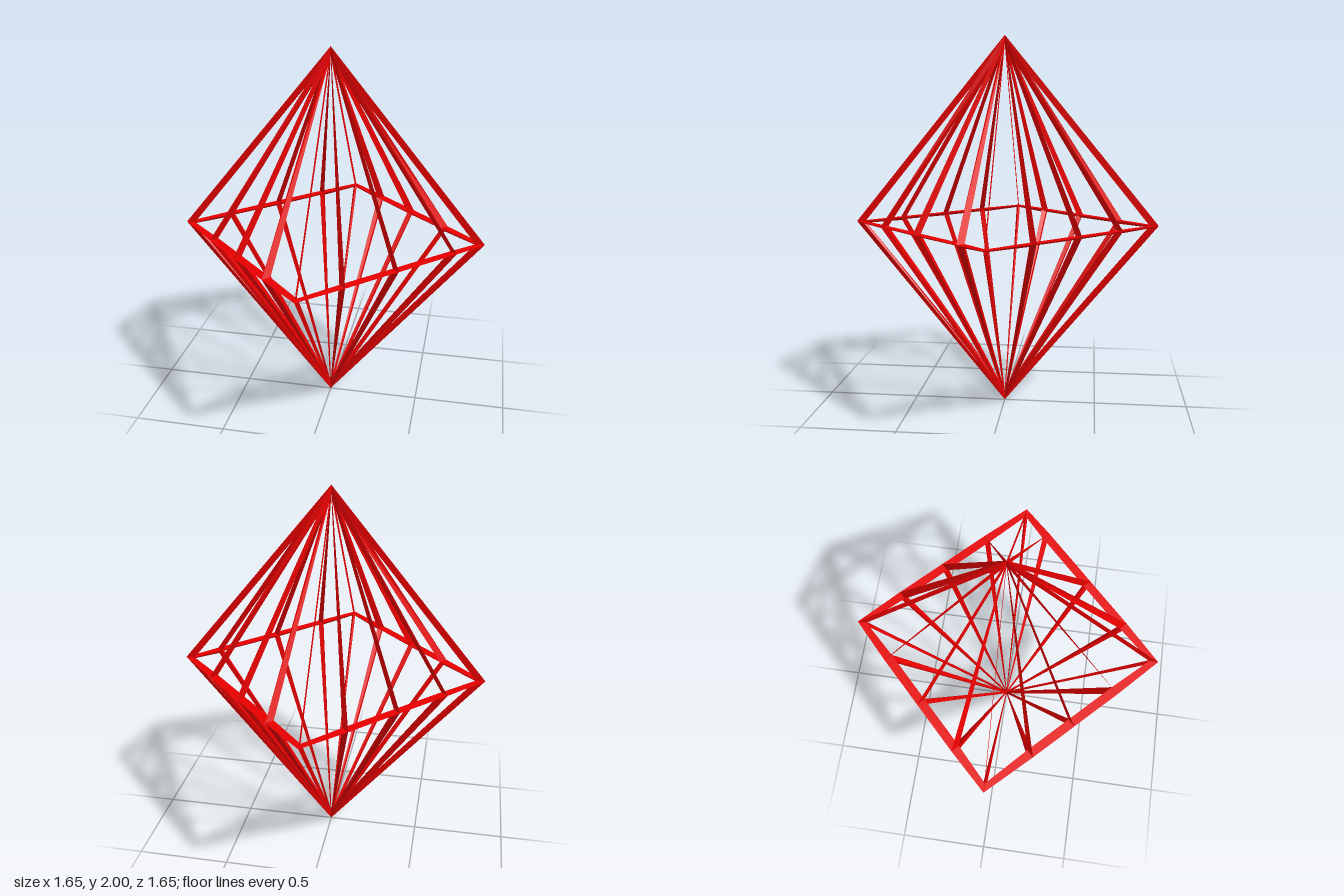
import * as THREE from 'three';

const R = 0.8;        // corner radius of the diamond ring
const TIP = 0.976;    // height of each tip above / below the ring
const DEPTH = 0.024;  // half thickness of the bars along the normal
const INSET = 0.024;  // shift of each panel corner along its bisector

// Where struts meet each ring side, as fractions from one corner to the next
const SPLITS = [
  [0, 0.225, 0.505, 0.836],
  [0, 0.25, 0.51, 0.765],
  [0, 0.225, 0.5, 0.775],
  [0, 0.26, 0.5, 0.76],
];

const V = (x, y, z) => new THREE.Vector3(x, y, z);

// A frame node: position plus outward normal
const node = (p, n) => ({
  p,
  pos: p.clone().addScaledVector(n, DEPTH),
  neg: p.clone().addScaledVector(n, -DEPTH),
});

// Panel corner moved inward along the angle bisector; narrow corners taper the bars
function insetCorner(prev, cur, next) {
  const a = prev.p.clone().sub(cur.p).normalize();
  const b = next.p.clone().sub(cur.p).normalize();
  return a.add(b).normalize().multiplyScalar(INSET).add(cur.p);
}

function quad(out, a, b, c, d) {
  for (const v of [a, b, c, a, c, d]) out.push(v.x, v.y, v.z);
}

function meshFrom(positions, material, name) {
  const g = new THREE.BufferGeometry();
  g.setAttribute('position', new THREE.Float32BufferAttribute(positions, 3));
  g.computeVertexNormals();
  const mesh = new THREE.Mesh(g, material);
  mesh.name = name;
  return mesh;
}

export function createModel() {
  const group = new THREE.Group();
  group.name = 'diamondFrame';
  const red = new THREE.MeshStandardMaterial({ color: 0xe70000, side: THREE.DoubleSide });
  red.name = 'red';

  // Ring nodes, counter-clockwise seen from above
  const corners = [V(0, 0, 1), V(1, 0, 0), V(0, 0, -1), V(-1, 0, 0)];
  const ring = [];
  SPLITS.forEach((fractions, s) => {
    const a = corners[s], b = corners[(s + 1) % 4];
    for (const f of fractions) {
      const n = f === 0 ? a.clone() : a.clone().add(b).normalize();
      const p = a.clone().lerp(b, f).multiplyScalar(R);
      p.y = 1;
      ring.push(node(p, n));
    }
  });
  const top = node(V(0, 1 + TIP, 0), V(0, 1, 0));
  const bottom = node(V(0, 1 - TIP, 0), V(0, -1, 0));

  const parts = { ring: [], upperStruts: [], lowerStruts: [] };
  ring.forEach((a, i) => {
    const b = ring[(i + 1) % ring.length];

    // Flat top of the ring, and a thin upright blade running to the upper tip
    quad(parts.ring, a.pos, b.pos, b.neg, a.neg);
    quad(parts.upperStruts, a.pos, top.pos, top.neg, a.neg);

    // Each lower opening contributes half of the wedge-sided bars around it
    const tri = [b, a, bottom];
    const inner = tri.map((c, k) => insetCorner(tri[(k + 2) % 3], c, tri[(k + 1) % 3]));
    for (let k = 0; k < 3; k++) {
      const j = (k + 1) % 3;
      const out = k === 0 ? parts.ring : parts.lowerStruts;
      quad(out, tri[k].pos, tri[j].pos, inner[j], inner[k]);
      quad(out, tri[k].neg, inner[k], inner[j], tri[j].neg);
    }
  });

  for (const [name, positions] of Object.entries(parts)) {
    group.add(meshFrom(positions, red, name));
  }
  return group;
}
